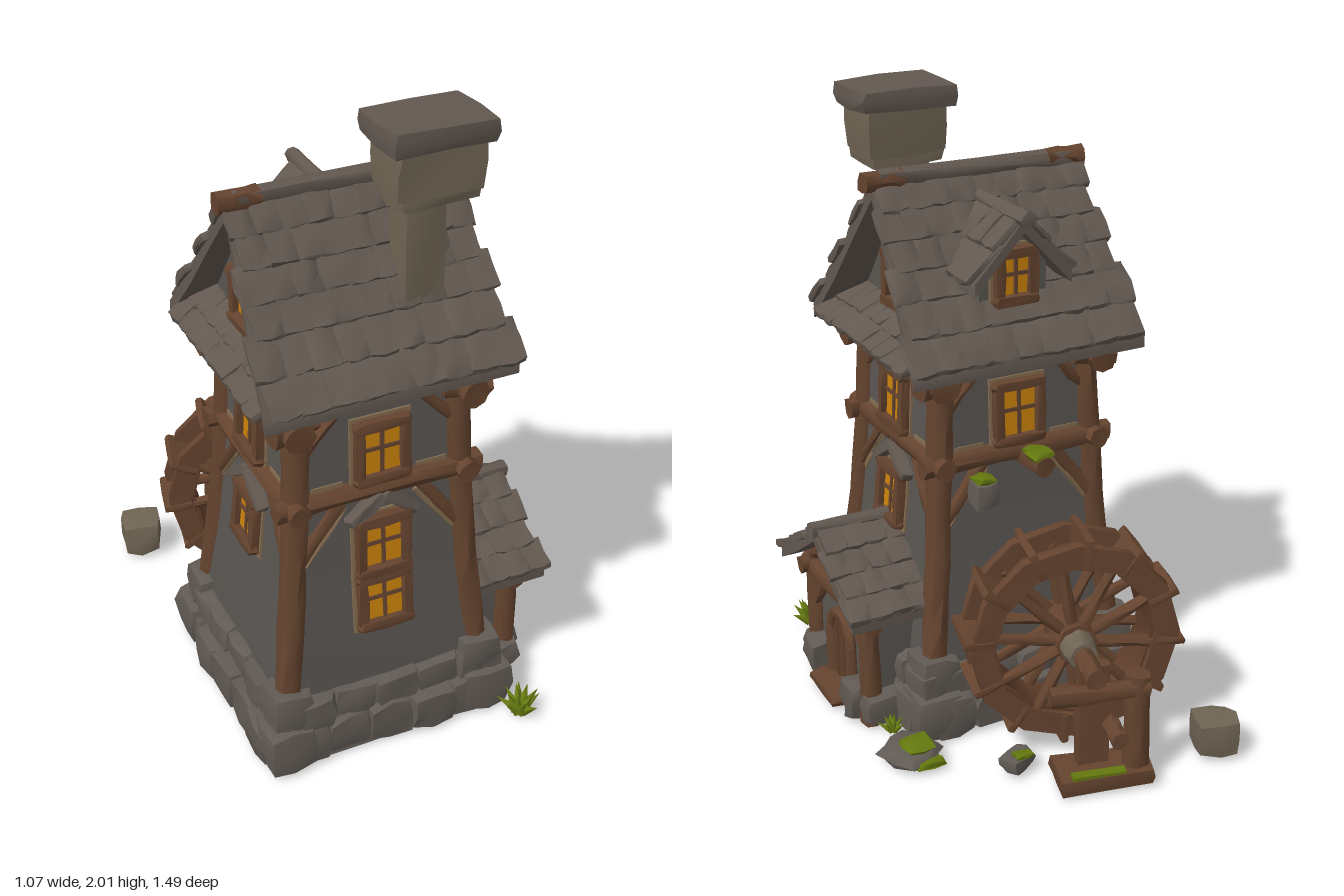
import * as THREE from 'three';
import { mergeGeometries, mergeVertices, toCreasedNormals } from 'three/addons/utils/BufferGeometryUtils.js';

const V = (x, y, z) => new THREE.Vector3(x, y, z);
const V2 = ([x, y]) => new THREE.Vector2(x, y);
const material = (name, color) => Object.assign(new THREE.MeshStandardMaterial({ color }), { name });

export function createModel() {
  const wood = material('timber', 0x65442f), roofMat = material('slate', 0x625850), wallMat = material('plaster', 0x5a5652);
  const stoneMat = material('stone', 0x625b55), paleStone = material('pale stone', 0x706554), trim = material('worn edge', 0x846c50);
  const glass = material('lit glass', 0xcc830b), moss = material('moss', 0x64780f), grass = material('grass', 0x6f8414);
  const doorMat = material('door wood', 0x5f3e2b);
  let seed = 7;
  const rnd = () => { seed = (seed * 16807) % 2147483647; return seed / 2147483647 - 0.5; };
  // Shake the vertices slightly and keep the sharp edges
  function rough(geo, amt = 0) {
    const g = mergeVertices(geo.deleteAttribute('uv').deleteAttribute('normal')), p = g.attributes.position;
    for (let i = 0; i < p.count; i++) p.setXYZ(i, p.getX(i) + rnd() * amt, p.getY(i) + rnd() * amt, p.getZ(i) + rnd() * amt);
    return toCreasedNormals(g, 0.9);
  }
  // Chunky block with worn corners
  function block(w, h, d, amt = 0.012, wear = 0.08) {
    const g = new THREE.BoxGeometry(2, 2, 2, 2, 2, 2), p = g.attributes.position;
    for (let i = 0; i < p.count; i++) {
      const v = V(0, 0, 0).fromBufferAttribute(p, i), k = 0.5 - wear / 2 * Math.max(0, v.lengthSq() - 1);
      p.setXYZ(i, v.x * w * k, v.y * h * k, v.z * d * k);
    }
    return rough(g, amt);
  }
  function place(parent, name, object, x, y, z) {
    object.name = name;
    object.position.set(x, y, z);
    parent.add(object);
    return object;
  }
  const add = (parent, name, geo, mat, x = 0, y = 0, z = 0) => place(parent, name, new THREE.Mesh(geo, mat), x, y, z);
  const group = (parent, name, x = 0, y = 0, z = 0, ry = 0) => place(parent, name, new THREE.Group().rotateY(ry), x, y, z);
  const box = (parent, name, mat, w, h, d, x, y, z) => add(parent, name, new THREE.BoxGeometry(w, h, d), mat, x, y, z);
  const stone = (parent, name, mat, w, h, d, x, y, z) => add(parent, name, block(w, h, d, 0.016, 0.1), mat, x, y, z);
  function log(parent, name, a, b, r, r2 = r, mat = wood) {
    const dir = b.clone().sub(a), c = a.clone().add(b).multiplyScalar(0.5);
    const m = add(parent, name, rough(new THREE.CylinderGeometry(r2, r, dir.length(), 8, 3), 0.008), mat, c.x, c.y, c.z);
    m.quaternion.setFromUnitVectors(V(0, 1, 0), dir.normalize());
  }
  const extrude = (points, z0, z1) => new THREE.ExtrudeGeometry(new THREE.Shape(points.map(V2)),
    { depth: z1 - z0, bevelEnabled: false }).translate(0, 0, z0);
  // Rows of shingles between top edge AB and bottom edge CD
  function tiles(A, B, C, D, rows, cols) {
    const parts = [], at = (u, v) => A.clone().lerp(B, u).lerp(C.clone().lerp(D, u), v);
    for (let r = 0; r < rows; r++) for (let c = 0; c < cols; c++) {
      const u = (c + 0.5 + (r % 2 ? 0.14 : -0.14)) / cols, v = (r + 0.5) / rows;
      const X = at(1, v).sub(at(0, v)), Z = at(u, 1).sub(at(u, 0));
      const g = block(X.length() / cols * 1.12, 0.026, Z.length() / rows * 1.3, 0.009, 0.06).rotateX(-0.09);
      const n = Z.cross(X.normalize()).normalize();
      if (n.y < 0) { X.negate(); n.negate(); }
      const m = new THREE.Matrix4().makeBasis(X, n, X.clone().cross(n));
      parts.push(g.applyMatrix4(m.setPosition(at(u, v).addScaledVector(n, 0.007 + rnd() * 0.006))));
    }
    return mergeGeometries(parts);
  }
  // Pitched roof with its ridge along local z; profile runs from ridge to eave
  function gableRoof(parent, name, profile, z0, z1, thick, rows, cols, taper = 0) {
    const half = profile.at(-1)[0], mid = (z0 + z1) / 2, inner = profile.map(([x, y]) => [x, y - thick]);
    const mirror = pts => pts.slice(1).map(([x, y]) => [-x, y]);
    const widen = (x, z) => z + Math.sign(z - mid) * taper * Math.abs(x) / half;
    const g = extrude([...mirror(profile).reverse(), ...profile, ...inner.reverse(), ...mirror(inner.slice().reverse())], z0, z1);
    const p = g.attributes.position, parts = [];
    for (let i = 0; i < p.count; i++) p.setZ(i, widen(p.getX(i), p.getZ(i)));
    add(parent, name + 'Slab', rough(g), roofMat);
    for (const s of [-1, 1]) for (let i = 0; i + 1 < profile.length; i++) {
      const e = ([x, y], z) => V(s * x, y, widen(x, z)), a = profile[i], b = profile[i + 1];
      parts.push(tiles(e(a, z0), e(a, z1), e(b, z0), e(b, z1), rows, cols));
    }
    add(parent, name + 'Shingles', mergeGeometries(parts), roofMat);
  }
  // Framed, lit window facing local +z
  function windowUnit(parent, x, y, z, w, h, tilt = 0, hood = false) {
    const g = group(parent, 'window', x, y, z);
    g.rotation.x = tilt;
    box(g, 'plasterEdge', trim, w + 0.075, h + 0.07, 0.008, 0, 0, 0.004);
    box(g, 'glass', glass, w, h, 0.008, 0, 0, 0.012);
    for (const s of [-1, 1]) {
      add(g, 'frameSide', block(0.034, h + 0.06, 0.045, 0.006), wood, s * (w / 2 + 0.012), 0, 0.015);
      add(g, 'frameRail', block(w + 0.07, 0.034, 0.05, 0.006), wood, 0, s * (h / 2 + 0.01), 0.018);
      if (hood) add(g, 'hood', block(0.145, 0.036, 0.055, 0.008), roofMat, s * 0.056, h / 2 + 0.055, 0.015).rotation.z = -s * 0.62;
    }
    box(g, 'mullion', wood, 0.012, h, 0.012, 0, 0, 0.016);
    box(g, 'glazingBar', wood, w, 0.012, 0.012, 0, h * 0.05, 0.016);
  }
  const model = new THREE.Group();
  model.name = 'watermill';
  const tower = group(model, 'tower', -0.065, 0, 0.2);
  // Flared square walls and stone footing
  const square = pts => rough(new THREE.LatheGeometry(pts.map(([r, y]) => V2([r * Math.SQRT2, y])), 4, Math.PI / 4));
  add(tower, 'walls', square([[0.35, 0.15], [0.345, 0.25], [0.305, 0.55], [0.28, 0.88], [0.265, 1.24]]), wallMat);
  add(tower, 'footing', square([[0, 0], [0.395, 0], [0.36, 0.215], [0, 0.215]]), stoneMat);
  box(tower, 'eavePlate', wood, 0.6, 0.04, 0.6, 0, 1.245, 0);
  const faces = ['front', 'right', 'back', 'left'].map((n, i) => group(tower, n + 'Side', 0, 0, 0, i * Math.PI / 2));
  const postPath = new THREE.CatmullRomCurve3([[0.332, 0.15], [0.292, 0.55], [0.268, 0.88], [0.253, 1.22]].map(([r, y]) => V(r, y, r)));
  faces.forEach((f, k) => {
    for (let i = -2; i <= 2; i++) {
      stone(f, 'footingStone', stoneMat, 0.165, 0.14 + rnd() * 0.02, 0.1, i * 0.145, 0.068, 0.372 + rnd() * 0.03);
      stone(f, 'footingStone', stoneMat, 0.16, 0.12, 0.09, i * 0.145 + 0.03, 0.17, 0.348 + rnd() * 0.02);
    }
    stone(f, 'cornerStone', stoneMat, 0.18, 0.16, 0.18, 0.34, 0.08, 0.34);
    stone(f, 'cornerStone', stoneMat, 0.15, 0.15, 0.15, 0.322, 0.2, 0.322);
    // Corner post, beams and braces
    add(f, 'cornerPost', rough(new THREE.TubeGeometry(postPath, 10, 0.043, 8), 0.007), wood);
    log(f, 'middleBeam', V(-0.335, 0.9, 0.275), V(0.335, 0.9, 0.275), 0.035);
    log(f, 'topBeam', V(-0.3, 1.205, 0.268), V(0.3, 1.205, 0.268), 0.03);
    for (const s of [-1, 1]) {
      log(f, 'beamEnd', V(s * 0.2, 1.178, 0.272), V(s * 0.342, 1.175, 0.278), 0.03, 0.047);
      log(f, 'lowerBrace', V(s * 0.27, 0.7, 0.29), V(s * 0.13, 0.88, 0.277), 0.022);
      log(f, 'braceEdge', V(s * 0.248, 0.69, 0.288), V(s * 0.115, 0.86, 0.276), 0.012, 0.012, trim);
      log(f, 'upperBrace', V(s * 0.235, 1.08, 0.27), V(s * 0.14, 1.185, 0.266), 0.018);
      box(f, 'plasterEdge', trim, 0.1, 0.016, 0.008, s * 0.17, 0.94, 0.278);
    }
    windowUnit(f, 0, 1.035, 0.274, 0.122, 0.16, -0.05);
    if (k % 2) windowUnit(f, 0, 0.7, 0.294, 0.11, 0.15, -0.09, true);
  });
  windowUnit(faces[0], 0, 0.71, 0.295, 0.125, 0.155, -0.09, true);
  windowUnit(faces[0], 0, 0.515, 0.312, 0.125, 0.15, -0.12);
  // Main roof, gable walls and skirts
  const roof = group(tower, 'mainRoof', 0.015, 0, -0.03, Math.PI / 2);
  gableRoof(roof, 'roof', [[0, 1.745], [0.115, 1.595], [0.23, 1.44], [0.374, 1.266]], -0.35, 0.35, 0.05, 2, 9, 0.05);
  log(roof, 'ridgeCap', V(0, 1.75, -0.33), V(0, 1.75, 0.33), 0.033, 0.033, roofMat);
  for (const s of [-1, 1]) log(roof, 'ridgeLogEnd', V(0, 1.75, s * 0.25), V(0, 1.75, s * 0.38), 0.034);
  add(roof, 'gableWall', rough(extrude([[-0.34, 1.245], [0.34, 1.245], [0.23, 1.41], [0, 1.72], [-0.23, 1.41]], -0.285, 0.255)), wallMat);
  for (const [f, x, z] of [[faces[1], 0.03, 0.42], [faces[3], -0.03, 0.39]]) {
    const gable = group(f, 'gable', x);
    windowUnit(gable, 0, 1.43, 0.27, 0.105, 0.13);
    add(gable, 'gableSkirt', tiles(V(-0.27, 1.335, 0.27), V(0.27, 1.335, 0.27), V(-0.35, 1.25, z), V(0.35, 1.25, z), 2, 9), roofMat);
    add(gable, 'skirtBoard', block(0.67, 0.03, 0.13, 0.008, 0.02), roofMat, 0, 1.248, 0.33);
  }
  // Dormer on the back slope
  const dormer = group(faces[2], 'dormer', -0.03);
  add(dormer, 'dormerWall', rough(extrude([[-0.115, 1.3], [0.115, 1.3], [0.115, 1.52], [0, 1.66], [-0.115, 1.52]], 0.08, 0.3)), wallMat);
  gableRoof(dormer, 'dormerRoof', [[0, 1.675], [0.08, 1.59], [0.165, 1.5]], 0.07, 0.37, 0.04, 1, 4);
  log(dormer, 'dormerRidge', V(0, 1.675, 0.06), V(0, 1.68, 0.395), 0.024, 0.024, roofMat);
  windowUnit(dormer, 0, 1.49, 0.3, 0.09, 0.13);
  // Entrance porch
  const porch = group(faces[1], 'porch', -0.014);
  add(porch, 'porchWall', rough(extrude([[-0.21, 0], [0.21, 0], [0.21, 0.44], [0, 0.59], [-0.21, 0.44]], 0.25, 0.49)), wallMat);
  gableRoof(porch, 'porchRoof', [[0, 0.62], [0.15, 0.515], [0.298, 0.425]], 0.3, 0.585, 0.04, 2, 4);
  log(porch, 'porchRidge', V(0, 0.62, 0.28), V(0, 0.622, 0.595), 0.026, 0.026, roofMat);
  log(porch, 'porchBeam', V(-0.27, 0.375, 0.5), V(0.27, 0.375, 0.5), 0.032);
  for (const s of [-1, 1]) {
    log(porch, 'porchPost', V(s * 0.22, 0, 0.495), V(s * 0.215, 0.42, 0.495), 0.037, 0.032);
    log(porch, 'porchSideBeam', V(s * 0.22, 0.38, 0.28), V(s * 0.22, 0.38, 0.55), 0.03);
    log(porch, 'porchRafter', V(s * 0.23, 0.405, 0.505), V(0, 0.565, 0.505), 0.02);
    log(porch, 'porchBrace', V(s * 0.2, 0.25, 0.5), V(s * 0.12, 0.35, 0.5), 0.018);
    log(porch, 'doorJamb', V(s * 0.08, 0, 0.5), V(s * 0.08, 0.21, 0.5), 0.021);
    stone(porch, 'porchStone', stoneMat, 0.11, 0.13, 0.12, s * 0.16, 0.065, 0.505);
    stone(porch, 'porchStone', stoneMat, 0.1, 0.11, 0.2, s * 0.23, 0.058, 0.44);
    box(porch, 'doorSeam', wood, 0.006, 0.24, 0.006, s * 0.025, 0.14, 0.505);
  }
  const doorShape = new THREE.Shape().moveTo(-0.07, 0.02).lineTo(0.07, 0.02).lineTo(0.07, 0.2).absarc(0, 0.2, 0.07, 0, Math.PI);
  add(porch, 'door', new THREE.ExtrudeGeometry(doorShape, { depth: 0.02, bevelEnabled: false, curveSegments: 8 }), doorMat, 0, 0, 0.483);
  add(porch, 'doorArch', rough(new THREE.TorusGeometry(0.08, 0.021, 7, 10, Math.PI), 0.005), wood, 0, 0.205, 0.5);
  add(porch, 'doorstep', block(0.22, 0.035, 0.12), wood, 0, 0.02, 0.53);
  box(porch, 'transomLight', glass, 0.065, 0.026, 0.008, 0, 0.335, 0.496);
  const disc = (r, d) => rough(new THREE.CylinderGeometry(r, r, d, 7).rotateX(Math.PI / 2), 0.004);
  add(porch, 'gableStoneEdge', disc(0.055, 0.008), trim, 0, 0.47, 0.494);
  add(porch, 'gableStone', disc(0.046, 0.03), stoneMat, 0, 0.47, 0.5);
  // Water wheel
  const wheel = group(model, 'waterWheel', -0.09, 0.39, -0.375, -0.26);
  const ring = (o, i, d) => rough(new THREE.LatheGeometry([[i, -d], [o, -d], [o, d], [i, d], [i, -d]].map(V2), 12).rotateX(Math.PI / 2), 0.005);
  add(wheel, 'drum', ring(0.275, 0.25, 0.07), doorMat);
  for (const s of [-1, 1]) {
    add(wheel, 'rim', ring(0.338, 0.26, 0.016), wood, 0, 0, s * 0.073);
    for (let i = 0; i < 10; i++) {
      const a = i * Math.PI / 5 + 0.15, c = Math.cos(a), n = Math.sin(a);
      log(wheel, 'spoke', V(c * 0.04, n * 0.04, s * 0.065), V(c * 0.28, n * 0.28, s * 0.065), 0.02, 0.016);
    }
  }
  for (let i = 0; i < 12; i++) {
    const a = i * Math.PI / 6 + 0.1;
    add(wheel, 'paddle', block(0.1, 0.026, 0.195, 0.006, 0.03), wood, Math.cos(a) * 0.308, Math.sin(a) * 0.308, 0).rotation.z = a;
  }
  log(wheel, 'hub', V(0, 0, -0.1), V(0, 0, 0.1), 0.07);
  log(wheel, 'axleStone', V(0, 0, -0.08), V(0, 0, -0.17), 0.06, 0.045, paleStone);
  log(wheel, 'axle', V(0, 0, -0.14), V(0, 0, -0.31), 0.034);
  // Bearing stand behind the wheel
  const stand = group(model, 'wheelStand', -0.065, 0, -0.635, -0.26);
  add(stand, 'standBase', block(0.31, 0.055, 0.15, 0.01, 0.03), wood, 0, 0.03, 0);
  add(stand, 'mainPost', block(0.1, 0.38, 0.06, 0.01, 0.03), wood, 0.03, 0.22, 0.03);
  log(stand, 'sidePost', V(-0.1, 0.04, -0.01), V(-0.1, 0.37, -0.01), 0.045, 0.04);
  log(stand, 'crossLog', V(-0.13, 0.33, -0.02), V(0.18, 0.33, -0.02), 0.03);
  log(stand, 'peg', V(-0.02, 0.2, 0), V(-0.02, 0.2, -0.1), 0.028);
  box(stand, 'standMoss', moss, 0.17, 0.014, 0.032, 0.03, 0.06, -0.055);
  log(model, 'wallPeg', V(-0.09, 0.885, -0.06), V(-0.09, 0.885, -0.22), 0.034);
  // Chimney, wall stone, loose rocks and moss
  for (const [name, mat, w, h, d, x, y, z, wear = 0.1, turn = 0] of [
    ['chimneyShaft', paleStone, 0.13, 0.42, 0.115, 0.1, 1.62, 0.36, 0.03], ['chimneyStack', paleStone, 0.275, 0.17, 0.2, 0.12, 1.87, 0.37, 0.035],
    ['chimneyCollar', paleStone, 0.25, 0.07, 0.18, 0.12, 1.79, 0.37, 0.035], ['chimneyCap', roofMat, 0.33, 0.07, 0.24, 0.12, 1.963, 0.37, 0.035],
    ['pegMoss', moss, 0.08, 0.024, 0.1, -0.09, 0.918, -0.17], ['wallStone', stoneMat, 0.085, 0.09, 0.085, 0.1, 0.82, -0.165],
    ['wallStoneMoss', moss, 0.065, 0.02, 0.065, 0.1, 0.866, -0.165], ['rock', paleStone, 0.145, 0.13, 0.145, -0.46, 0.066, -0.67, 0.1, -0.3],
    ['flatRock', stoneMat, 0.17, 0.045, 0.17, 0.41, 0.026, -0.25, 0.12, 0.5], ['flatRockMoss', moss, 0.1, 0.02, 0.1, 0.39, 0.049, -0.26],
    ['mossPatch', moss, 0.1, 0.02, 0.06, 0.38, 0.016, -0.325], ['smallRock', stoneMat, 0.11, 0.05, 0.08, 0.14, 0.028, -0.46, 0.1, 0.4],
    ['smallRockMoss', moss, 0.06, 0.02, 0.05, 0.13, 0.053, -0.475],
  ]) add(model, name, block(w, h, d, 0.012, wear), mat, x, y, z).rotation.y = turn;
  // Grass tufts
  for (const [x, z, r, count] of [[0.36, 0.675, 0.07, 14], [0.4, -0.1, 0.045, 9]]) {
    const tuft = group(model, 'grassTuft', x, 0, z);
    for (let i = 0; i < count; i++) {
      const a = i * 2.4, h = r * 1.2, blade = new THREE.ConeGeometry(r * 0.3, h, 4).translate(0, h / 2, 0);
      add(tuft, 'blade', blade, grass, Math.cos(a) * r * 0.12, 0.01, Math.sin(a) * r * 0.12).rotation.set(0, -a, -0.2 - 0.85 * i / count, 'YXZ');
    }
  }
  return model;
}
